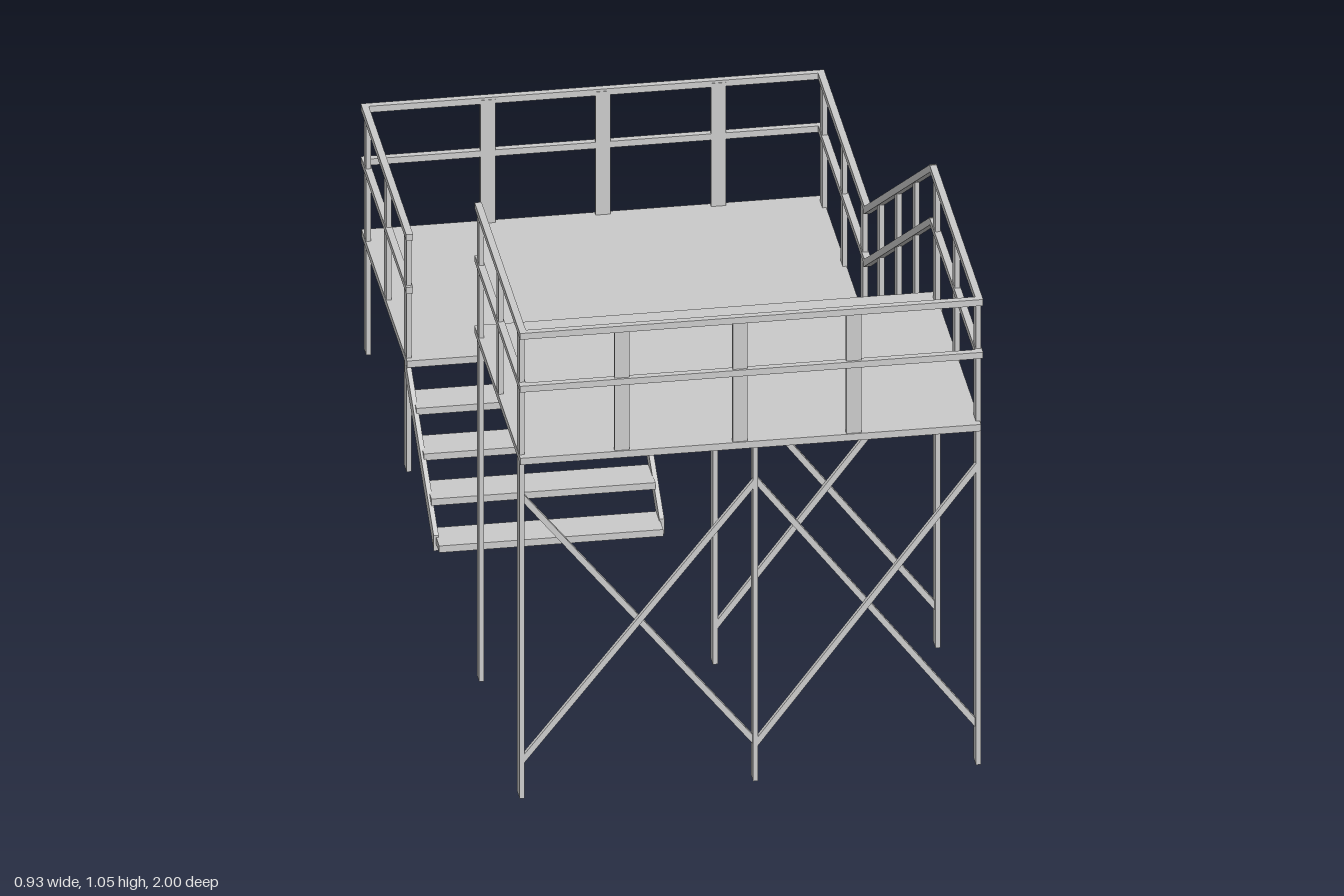
import * as THREE from 'three';

const material = new THREE.MeshStandardMaterial({ color: 0xcccccc, flatShading: true });

// Axis-aligned box given by its ranges on x, y and z
function block(parent, name, [x0, x1], [y0, y1], [z0, z1]) {
  const mesh = new THREE.Mesh(new THREE.BoxGeometry(x1 - x0, y1 - y0, z1 - z0), material);
  mesh.position.set((x0 + x1) / 2, (y0 + y1) / 2, (z0 + z1) / 2);
  mesh.name = name;
  parent.add(mesh);
}

// Range of width w around centre c
const around = (c, w) => [c - w / 2, c + w / 2];

// Bar with vertical end cuts running in the yz plane from (z0, y0) to (z1, y1)
function slopedBar(parent, name, x, width, height, [z0, y0], [z1, y1]) {
  const h = height / 2;
  const shape = new THREE.Shape([[z0, y0 - h], [z1, y1 - h], [z1, y1 + h], [z0, y0 + h]]
    .map(([z, y]) => new THREE.Vector2(-z, y)));
  const geometry = new THREE.ExtrudeGeometry(shape, { depth: width, bevelEnabled: false });
  geometry.rotateY(Math.PI / 2);
  const mesh = new THREE.Mesh(geometry, material);
  mesh.position.x = x - width / 2;
  mesh.name = name;
  parent.add(mesh);
}

// Diagonal bar in a plane of constant z
function brace(parent, [x0, y0], [x1, y1], z) {
  const mesh = new THREE.Mesh(
    new THREE.BoxGeometry(Math.hypot(x1 - x0, y1 - y0), 0.012, 0.01), material);
  mesh.position.set((x0 + x1) / 2, (y0 + y1) / 2, z);
  mesh.rotation.z = Math.atan2(y1 - y0, x1 - x0);
  mesh.name = 'crossBrace';
  parent.add(mesh);
}

const LEFT = 0.457, RIGHT = -0.459, MIDDLE = 0.01;
const RAIL = 0.014;

// Deck with six legs and a railing on three sides; dir is the side (+z or -z) of its outer edge
function platform(name, { dir, top, inner, legZ, railPostX, railEnd }) {
  const group = new THREE.Group();
  group.name = name;
  const span = (a, b) => [Math.min(dir * a, dir * b), Math.max(dir * a, dir * b)];
  const railTop = top + 0.28;

  block(group, 'deck', [-0.465, 0.46], [top - 0.015, top], span(inner, 0.998));

  // Outer legs run up into the railing, middle legs stop under the deck
  for (const z of legZ) {
    for (const x of [RIGHT, LEFT]) block(group, 'leg', around(x, 0.01), [0, railTop - 0.005], around(z, 0.03));
    block(group, 'leg', around(MIDDLE, 0.01), [0, top - 0.01], around(z, 0.03));
  }

  // Railing posts
  for (const x of railPostX)
    block(group, 'railPost', around(x, 0.03), [top - 0.01, railTop - 0.005], around(dir * 0.99, 0.01));
  for (const x of [RIGHT, LEFT])
    block(group, 'railPost', around(x, 0.01), [top - 0.01, railTop - 0.005], around(dir * 0.705, 0.03));

  // Top and middle rails
  for (const y of [railTop - RAIL / 2, railTop - 0.125]) {
    block(group, 'outerRail', [-0.466, 0.464], around(y, RAIL), span(0.986, 1));
    block(group, 'sideRail', around(RIGHT, RAIL), around(y, RAIL), span(0.43, 0.988));
    block(group, 'sideRail', around(LEFT, RAIL), around(y, RAIL), span(railEnd, 0.988));
  }
  return group;
}

// Two stringers with flat treads between them
function stairs(name, { sides, low, high, treadX, treads, depth }) {
  const group = new THREE.Group();
  group.name = name;
  for (const x of sides) slopedBar(group, 'stringer', x, 0.01, 0.034, low, high);
  for (const [z, y] of treads)
    block(group, 'tread', treadX, around(y, 0.015), around(z, depth));
  return group;
}

export function createModel() {
  const model = new THREE.Group();
  model.name = 'stairTower';

  const upper = platform('upperPlatform', {
    dir: 1, top: 0.768, inner: 0.42, legZ: [0.968, 0.46],
    railPostX: [-0.26, -0.023, 0.205], railEnd: 0.41,
  });
  const lower = platform('lowerPlatform', {
    dir: -1, top: 0.254, inner: 0.425, legZ: [-0.96, -0.452],
    railPostX: [-0.213, 0.018, 0.25], railEnd: 0.41,
  });
  model.add(upper, lower);

  // Cross braces: both front bays, and the bay under the main flight
  for (const [x0, x1, z] of [[RIGHT, MIDDLE, 0.968], [MIDDLE, LEFT, 0.968], [MIDDLE, LEFT, 0.46]]) {
    brace(upper, [x0, 0.67], [x1, 0.083], z);
    brace(upper, [x0, 0.083], [x1, 0.67], z + 0.01);
  }

  // Main flight between the platforms
  const mainFlight = stairs('mainStairs', {
    sides: [0.008, 0.46], low: [-0.465, 0.242], high: [0.48, 0.757],
    treadX: [0.012, 0.456], depth: 0.084,
    treads: [[-0.36, 0.303], [-0.254, 0.36], [-0.143, 0.416], [-0.035, 0.477],
      [0.085, 0.546], [0.185, 0.604], [0.29, 0.664], [0.377, 0.711]],
  });
  model.add(mainFlight);

  // Sloped railing on the outer side of the main flight
  const railAt = (z) => 0.781 + z * 0.627;
  for (const drop of [0, 0.118])
    slopedBar(mainFlight, 'handrail', LEFT, RAIL, 0.017, [-0.415, railAt(-0.415) - drop], [0.415, railAt(0.415) - drop]);
  for (const z of [0.2, -0.024, -0.245])
    block(mainFlight, 'railPost', around(LEFT, 0.01), [0.495 + z * 0.545, railAt(z)], around(z, 0.03));

  // Short flight down to the ground
  model.add(stairs('lowerStairs', {
    sides: [-0.46, -0.007], low: [-0.09, 0.019], high: [-0.46, 0.235],
    treadX: [-0.46, -0.01], depth: 0.08,
    treads: [[-0.378, 0.185], [-0.285, 0.131], [-0.19, 0.079], [-0.093, 0.024]],
  }));

  return model;
}
